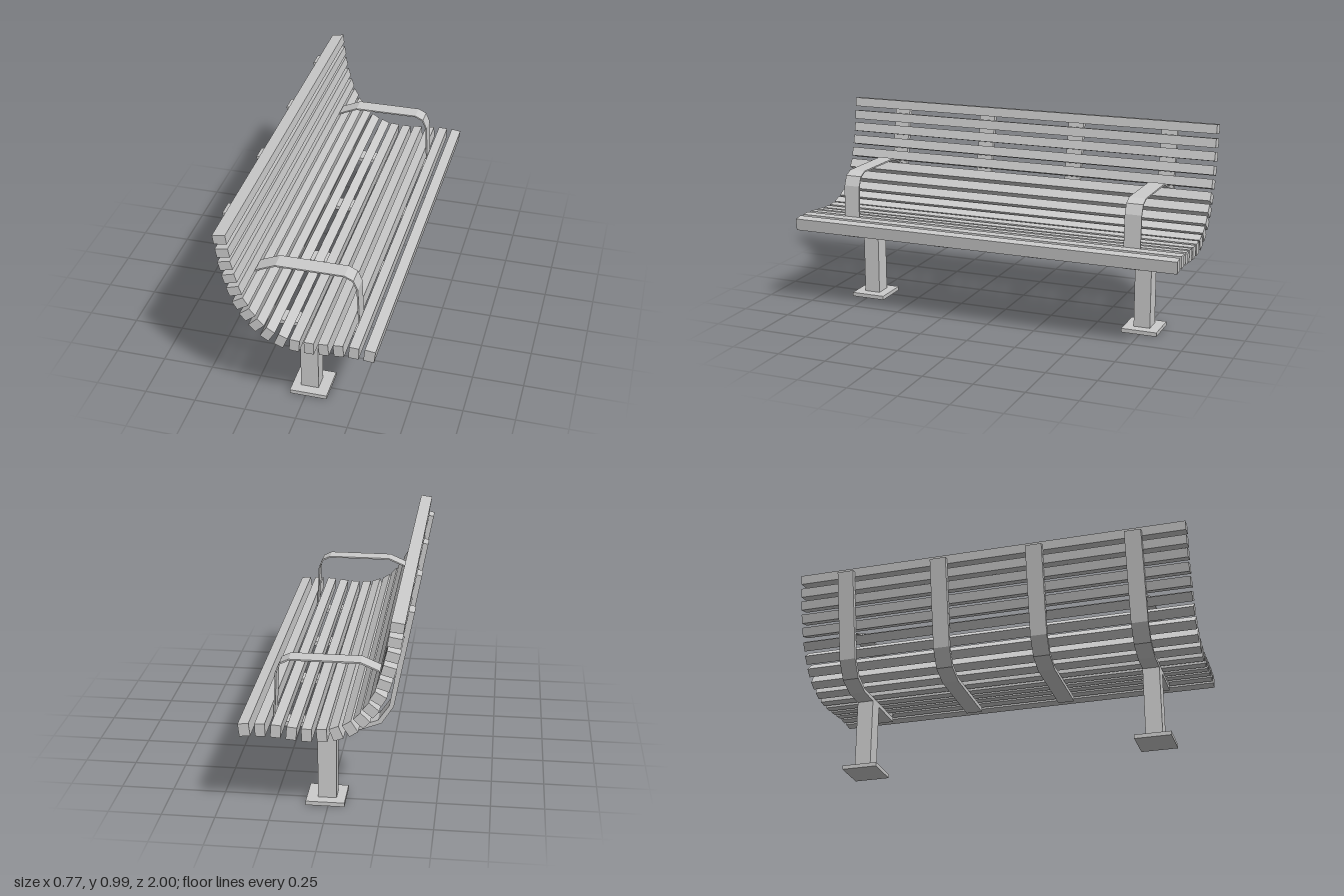
import * as THREE from 'three';

const material = new THREE.MeshStandardMaterial({ color: 0xcccccc, flatShading: true });

// Slat cross-sections from back top to seat front: x, y, tilt in degrees
const SLATS = [
  [-0.324, 0.964, -82], [-0.314, 0.895, -80], [-0.305, 0.828, -76], [-0.289, 0.76, -74],
  [-0.27, 0.695, -72], [-0.245, 0.63, -59], [-0.213, 0.573, -51], [-0.173, 0.522, -46],
  [-0.122, 0.48, -32], [-0.06, 0.453, -22], [0.004, 0.44, -4], [0.072, 0.438, 0],
  [0.14, 0.443, 5], [0.21, 0.45, 4.5], [0.281, 0.453, -2], [0.353, 0.45, -6.5],
];

// Bent bar under the seat and up the back
const SUPPORT = [
  [-0.384, 0.957], [-0.297, 0.5], [-0.242, 0.414], [-0.148, 0.378], [0.258, 0.378],
  [0.255, 0.401], [-0.148, 0.398], [-0.226, 0.43], [-0.276, 0.503], [-0.357, 0.962],
];

// Thin bent strap from the back bar over to the seat front
const ARMREST = [
  [-0.3, 0.635], [-0.145, 0.701], [0.18, 0.703], [0.219, 0.684], [0.238, 0.641], [0.25, 0.396],
  [0.257, 0.396], [0.245, 0.642], [0.224, 0.69], [0.182, 0.71], [-0.145, 0.709], [-0.302, 0.641],
];

const BAR_WIDTH = 0.083;

function add(parent, name, geometry, x = 0, y = 0, z = 0) {
  const mesh = new THREE.Mesh(geometry, material);
  mesh.name = name;
  mesh.position.set(x, y, z);
  parent.add(mesh);
  return mesh;
}

// Side profile extruded along z and centred on it
function bar(points) {
  const shape = new THREE.Shape(points.map(([x, y]) => new THREE.Vector2(x, y)));
  const geometry = new THREE.ExtrudeGeometry(shape, { depth: BAR_WIDTH, bevelEnabled: false });
  return geometry.translate(0, 0, -BAR_WIDTH / 2);
}

export function createModel() {
  const bench = new THREE.Group();
  bench.name = 'bench';

  // Full-length slats
  const slats = new THREE.Group();
  slats.name = 'slats';
  bench.add(slats);
  const slatGeometry = new THREE.BoxGeometry(0.046, 0.061, 2);
  SLATS.forEach(([x, y, tilt], i) => {
    const slat = add(slats, `slat${i + 1}`, slatGeometry, x, y);
    slat.rotation.z = THREE.MathUtils.degToRad(tilt);
    if (i === SLATS.length - 1) slat.scale.x = 1.08;
  });

  // Four support bars
  const supportGeometry = bar(SUPPORT);
  for (const z of [-0.745, -0.248, 0.248, 0.745]) add(bench, 'supportBar', supportGeometry, 0, 0, z);

  // Legs, foot plates and armrests at the outer bars
  const armrestGeometry = bar(ARMREST);
  for (const z of [-0.745, 0.745]) {
    add(bench, 'armrest', armrestGeometry, 0, 0, z);
    add(bench, 'leg', new THREE.BoxGeometry(0.087, 0.379, BAR_WIDTH), 0.009, 0.1995, z);
    add(bench, 'footPlate', new THREE.BoxGeometry(0.182, 0.02, 0.18), 0.014, 0.01, z);
  }
  return bench;
}
